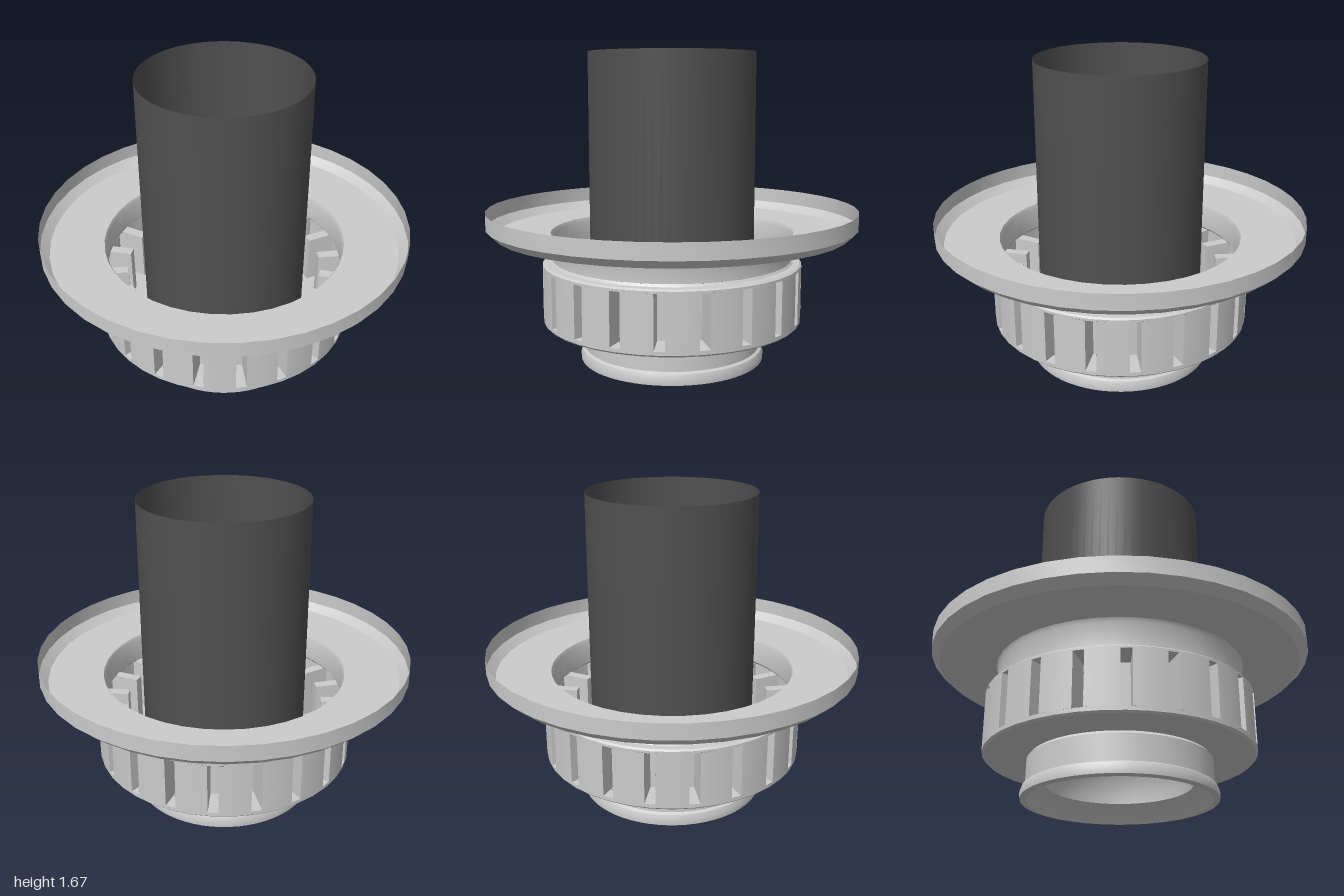
import * as THREE from 'three';
import { toCreasedNormals } from 'three/addons/utils/BufferGeometryUtils.js';

const grey = new THREE.MeshStandardMaterial({ color: 0xcccccc, side: THREE.DoubleSide });
const dark = new THREE.MeshStandardMaterial({ color: 0x505050, side: THREE.DoubleSide });

// Surface of revolution from [radius, height] pairs, listed from bottom to top
function turned(name, points, segments = 40, phiStart = 0) {
  const profile = points.map(([r, y]) => new THREE.Vector2(r, y));
  const geometry = new THREE.LatheGeometry(profile, segments, phiStart);
  const mesh = new THREE.Mesh(toCreasedNormals(geometry, 0.6), grey);
  mesh.name = name;
  return mesh;
}

export function createModel() {
  const model = new THREE.Group();
  model.name = 'ventedLamp';

  // Ring of vents: 20 closed pockets cut into a thin wall
  const count = 20, step = (Math.PI * 2) / count, first = THREE.MathUtils.degToRad(-5);
  const outer = 0.705, inner = 0.54, halfWidth = 0.0275, low = 0.25, high = 0.53;
  const halfAngle = Math.asin(halfWidth / outer);

  // Flared mouth and domed reflector inside the socket
  const dome = [[0.47, 0], [0.45, 0.025], [0.41, 0.06], [0.375, 0.09]];
  for (let i = 1; i <= 14; i++) {
    const a = (i / 14) * Math.PI / 2;
    dome.push([0.375 * Math.cos(a), 0.09 + 0.375 * Math.sin(a)]);
  }
  model.add(turned('innerDome', dome, 64));

  // Socket collar with a bottom lip, and the floor of the vent ring
  model.add(turned('baseCollar', [
    [0.47, 0], [0.503, 0.005], [0.505, 0.035], [0.495, 0.062], [0.48, 0.07],
    [0.478, 0.205], [0.465, 0.22],
  ], 64));
  model.add(turned('ventRingBottom', [
    [0.465, 0.22], [0.695, 0.22], [outer, 0.23], [outer, low],
  ], 40, first));

  // Shoulder above the vents and the neck under the dish
  model.add(turned('ventRingTop', [
    [outer, high], [outer, 0.542], [0.695, 0.55], [0.66, 0.552], [0.65, 0.565],
  ], 40, first));
  model.add(turned('neck', [[0.65, 0.565], [0.65, 0.69], [0.66, 0.71]]));

  // Wide shallow dish
  model.add(turned('dish', [[0.66, 0.71], [0.955, 0.71], [1, 0.752], [1, 0.835]]));

  const vents = new THREE.Group();
  vents.name = 'ventRing';
  const strip = new THREE.CylinderGeometry(
    outer, outer, high - low, 2, 1, true, halfAngle, step - 2 * halfAngle);
  const pocket = new THREE.BoxGeometry(halfWidth * 2, high - low, outer - inner);
  // Leave out the outward face so that the pocket is open
  const index = Array.from(pocket.index.array);
  index.splice(24, 6);
  pocket.setIndex(index);
  pocket.clearGroups();
  pocket.translate(0, 0, (outer + inner) / 2);
  for (let i = 0; i < count; i++) {
    for (const [name, geometry] of [['ventWall', strip], ['ventPocket', pocket]]) {
      const mesh = new THREE.Mesh(geometry, grey);
      mesh.name = name;
      mesh.position.y = (low + high) / 2;
      mesh.rotation.y = first + i * step;
      vents.add(mesh);
    }
  }
  model.add(vents);

  // Open dark chimney tube
  const tube = new THREE.Mesh(
    new THREE.CylinderGeometry(0.447, 0.447, 1.59, 64, 1, true), dark);
  tube.name = 'chimneyTube';
  tube.position.y = 0.08 + 1.59 / 2;
  model.add(tube);

  return model;
}
